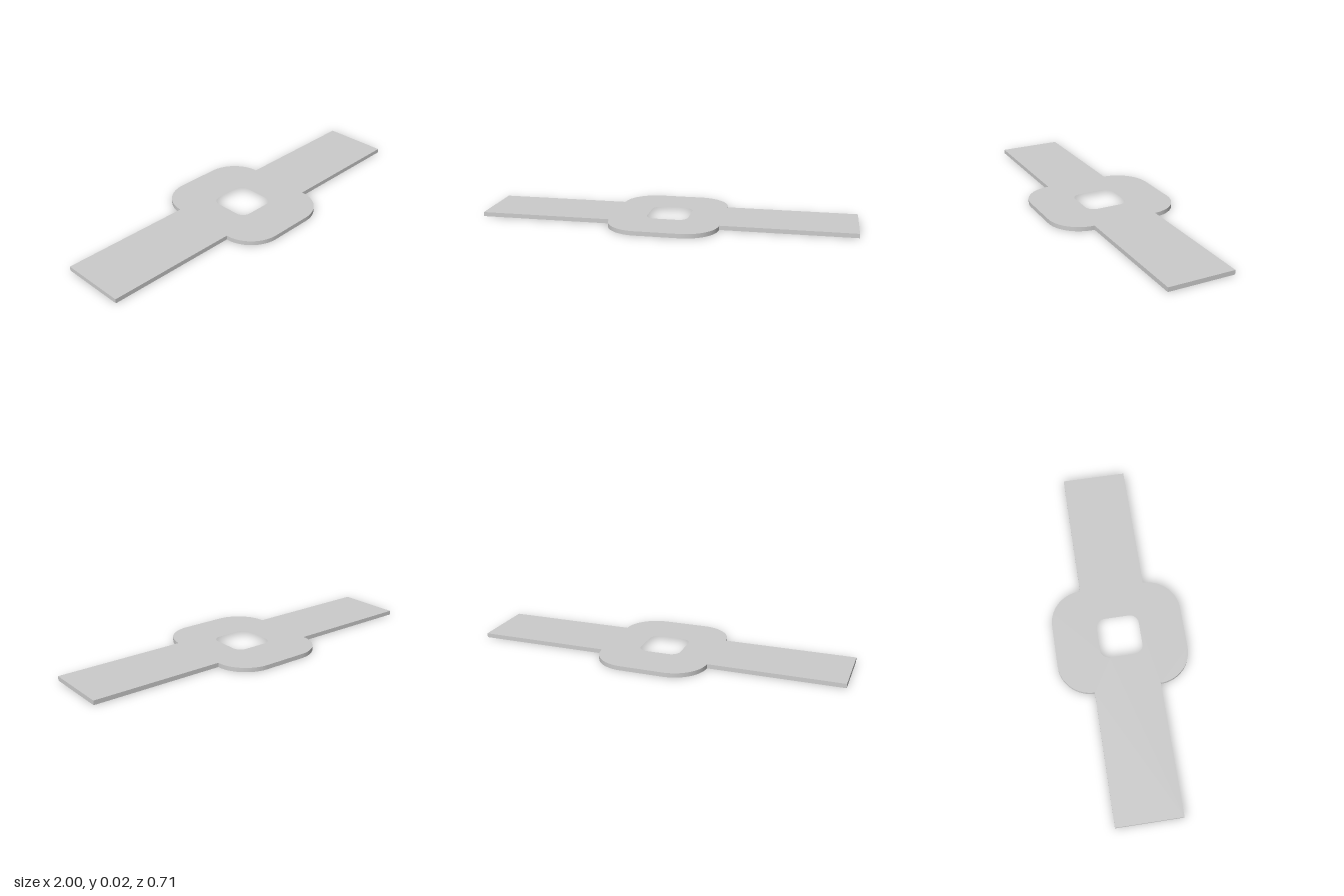
import * as THREE from 'three';
import { toCreasedNormals } from 'three/addons/utils/BufferGeometryUtils.js';

const HEIGHT = 0.023;
const BAR = { x: 1, z: 0.176 };
const RING = { x: 0.293, z: 0.353, r: 0.177 };
const HOLE = { x: 0.112, z: 0.116, r: 0.05 };

// Counter-clockwise outline: two straight arms joined to a rounded centre
function plateOutline() {
  const s = new THREE.Shape();
  const cx = RING.x - RING.r, cz = RING.z - RING.r;
  s.moveTo(BAR.x, -BAR.z);
  s.lineTo(BAR.x, BAR.z);
  s.lineTo(RING.x, BAR.z);
  s.absarc(cx, cz, RING.r, 0, Math.PI / 2, false);
  s.absarc(-cx, cz, RING.r, Math.PI / 2, Math.PI, false);
  s.lineTo(-BAR.x, BAR.z);
  s.lineTo(-BAR.x, -BAR.z);
  s.lineTo(-RING.x, -BAR.z);
  s.absarc(-cx, -cz, RING.r, Math.PI, Math.PI * 1.5, false);
  s.absarc(cx, -cz, RING.r, Math.PI * 1.5, Math.PI * 2, false);
  s.lineTo(RING.x, -BAR.z);
  s.closePath();
  return s;
}

// Rounded square opening
function holeOutline() {
  const p = new THREE.Path();
  const cx = HOLE.x - HOLE.r, cz = HOLE.z - HOLE.r;
  [[1, 1], [-1, 1], [-1, -1], [1, -1]].forEach(([sx, sz], i) =>
    p.absarc(sx * cx, sz * cz, HOLE.r, i * Math.PI / 2, (i + 1) * Math.PI / 2, false));
  p.closePath();
  return p;
}

// Vertical skirt that follows the outline
function wallGeometry(points) {
  const pos = [];
  points.forEach((a, i) => {
    const b = points[(i + 1) % points.length];
    if (a.distanceTo(b) < 1e-5) return;
    pos.push(a.x, 0, -a.y, b.x, 0, -b.y, b.x, HEIGHT, -b.y);
    pos.push(a.x, 0, -a.y, b.x, HEIGHT, -b.y, a.x, HEIGHT, -a.y);
  });
  const g = new THREE.BufferGeometry();
  g.setAttribute('position', new THREE.Float32BufferAttribute(pos, 3));
  return toCreasedNormals(g, Math.PI / 6);
}

export function createModel() {
  const group = new THREE.Group();
  group.name = 'flatBracket';
  const material = new THREE.MeshStandardMaterial({ color: 0xcccccc, side: THREE.DoubleSide });

  const shape = plateOutline();
  const walls = new THREE.Mesh(wallGeometry(shape.getPoints(16)), material);
  walls.name = 'outerWall';

  // Top sheet, open underneath
  shape.holes.push(holeOutline());
  const sheet = new THREE.ShapeGeometry(shape, 16);
  sheet.rotateX(-Math.PI / 2);
  sheet.translate(0, HEIGHT, 0);
  const top = new THREE.Mesh(sheet, material);
  top.name = 'topPlate';

  group.add(top, walls);
  return group;
}
